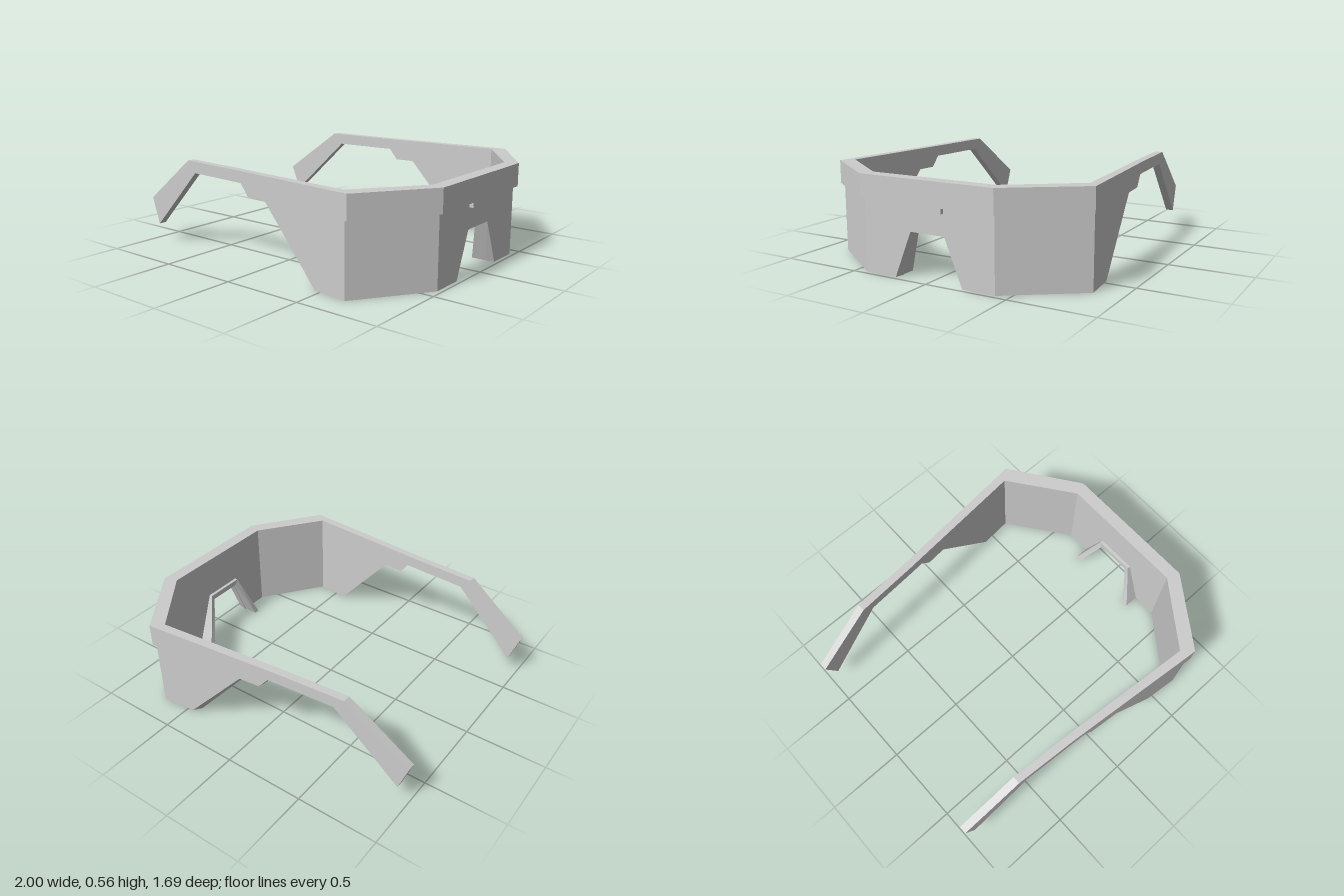
import * as THREE from 'three';

const grey = new THREE.MeshStandardMaterial({ color: 0xcccccc });
grey.name = 'plain grey';

// Extrudes a side profile, then moves its vertices by a rule: (x, y, t) with t = 0 inside, 1 outside
function extrudeBy(profile, rule) {
  const shape = new THREE.Shape(profile.map(([x, y]) => new THREE.Vector2(x, y)));
  let geo = new THREE.ExtrudeGeometry(shape, { depth: 1, bevelEnabled: false });
  if (geo.index) geo = geo.toNonIndexed();
  const pos = geo.attributes.position;
  for (let i = 0; i < pos.count; i++) {
    pos.setXYZ(i, ...rule(pos.getX(i), pos.getY(i), pos.getZ(i)));
  }
  geo.clearGroups();
  geo.computeVertexNormals();
  return geo;
}

// Wall between plan points a and b ([x, z]), with separate outer and inner lines;
// the profile's first coordinate runs from s0 at a to s1 at b
function wall(profile, s0, s1, outer, inner) {
  return extrudeBy(profile, (s, y, t) => {
    const u = (s - s0) / (s1 - s0);
    const at = (line, k) => line[0][k] + (line[1][k] - line[0][k]) * u;
    const mix = (k) => at(inner, k) + (at(outer, k) - at(inner, k)) * t;
    return [mix(0), y, mix(1)];
  });
}

// Mirrors across z and restores the corner order
function mirrored(geo) {
  const copy = geo.clone().scale(1, 1, -1);
  const pos = copy.attributes.position;
  const a = new THREE.Vector3(), b = new THREE.Vector3();
  for (let i = 0; i < pos.count; i += 3) {
    a.fromBufferAttribute(pos, i + 1);
    b.fromBufferAttribute(pos, i + 2);
    pos.setXYZ(i + 1, b.x, b.y, b.z);
    pos.setXYZ(i + 2, a.x, a.y, a.z);
  }
  copy.computeVertexNormals();
  return copy;
}

export function createModel() {
  const model = new THREE.Group();
  model.name = 'glasses';
  const add = (name, geo) => {
    const mesh = new THREE.Mesh(geo, grey);
    mesh.name = name;
    model.add(mesh);
  };
  const addPair = (name, geo) => {
    add(name + 'A', geo);
    add(name + 'B', mirrored(geo));
  };
  const top = 0.565, brow = 0.425, arm = 0.495;

  // Rear arm with its drooping ear hook
  addPair('earHook', wall(
    [[-1, 0.275], [-0.94, 0.11], [-0.54, arm], [-0.2, arm], [-0.2, top], [-0.605, top]],
    -1, -0.2, [[-1, 0.7], [-0.2, 0.758]], [[-1, 0.652], [-0.2, 0.71]]));

  // Front arm, deepening towards the hinge corner
  addPair('arm', wall(
    [[-0.2, arm], [-0.12, arm], [-0.06, brow], [0.7, brow], [0.7, top], [-0.2, top]],
    -0.2, 0.7, [[-0.2, 0.758], [0.7, 0.847]], [[-0.2, 0.71], [0.635, 0.785]]));

  // Angled corner of the brow
  addPair('browCorner', wall(
    [[0, brow], [1, brow], [1, top], [0, top]],
    0, 1, [[0.7, 0.847], [1, 0.43]], [[0.635, 0.785], [0.92, 0.4]]));

  // Straight brow bar with a small step over the nose
  add('browBar', wall(
    [[-0.43, brow], [-0.11, brow], [-0.11, 0.395], [0.11, 0.395], [0.11, brow],
      [0.43, brow], [0.43, top], [-0.43, top]],
    -0.43, 0.43, [[1, 0.43], [1, -0.43]], [[0.92, 0.4], [0.92, -0.4]]));

  // Lens: tapered side, angled corner, front with nose cut-out
  addPair('lensSide', wall(
    [[0.07, brow], [0.465, 0], [0.68, 0], [0.68, brow]],
    -0.2, 0.68, [[-0.2, 0.748], [0.68, 0.835]], [[-0.2, 0.71], [0.635, 0.785]]));
  addPair('lensCorner', wall(
    [[0, 0], [1, 0], [1, brow], [0, brow]],
    0, 1, [[0.68, 0.835], [0.975, 0.42]], [[0.635, 0.785], [0.92, 0.4]]));
  add('lensFront', wall(
    [[-0.42, 0], [-0.22, 0], [-0.11, 0.27], [0.11, 0.27], [0.22, 0], [0.42, 0],
      [0.42, brow], [-0.42, brow]],
    -0.42, 0.42, [[0.975, 0.42], [0.975, -0.42]], [[0.92, 0.4], [0.92, -0.4]]));

  // Nose rest: an arch behind the cut-out, reaching further back at its feet
  add('noseRest', extrudeBy(
    [[-0.25, 0], [-0.215, 0], [-0.108, 0.27], [0.108, 0.27], [0.215, 0], [0.25, 0],
      [0.13, 0.305], [-0.13, 0.305]],
    (s, y, t) => {
      const back = 0.83 + 0.07 * Math.min(1, y / 0.27);
      return [back + (0.925 - back) * t, y, -s];
    }));

  return model;
}
